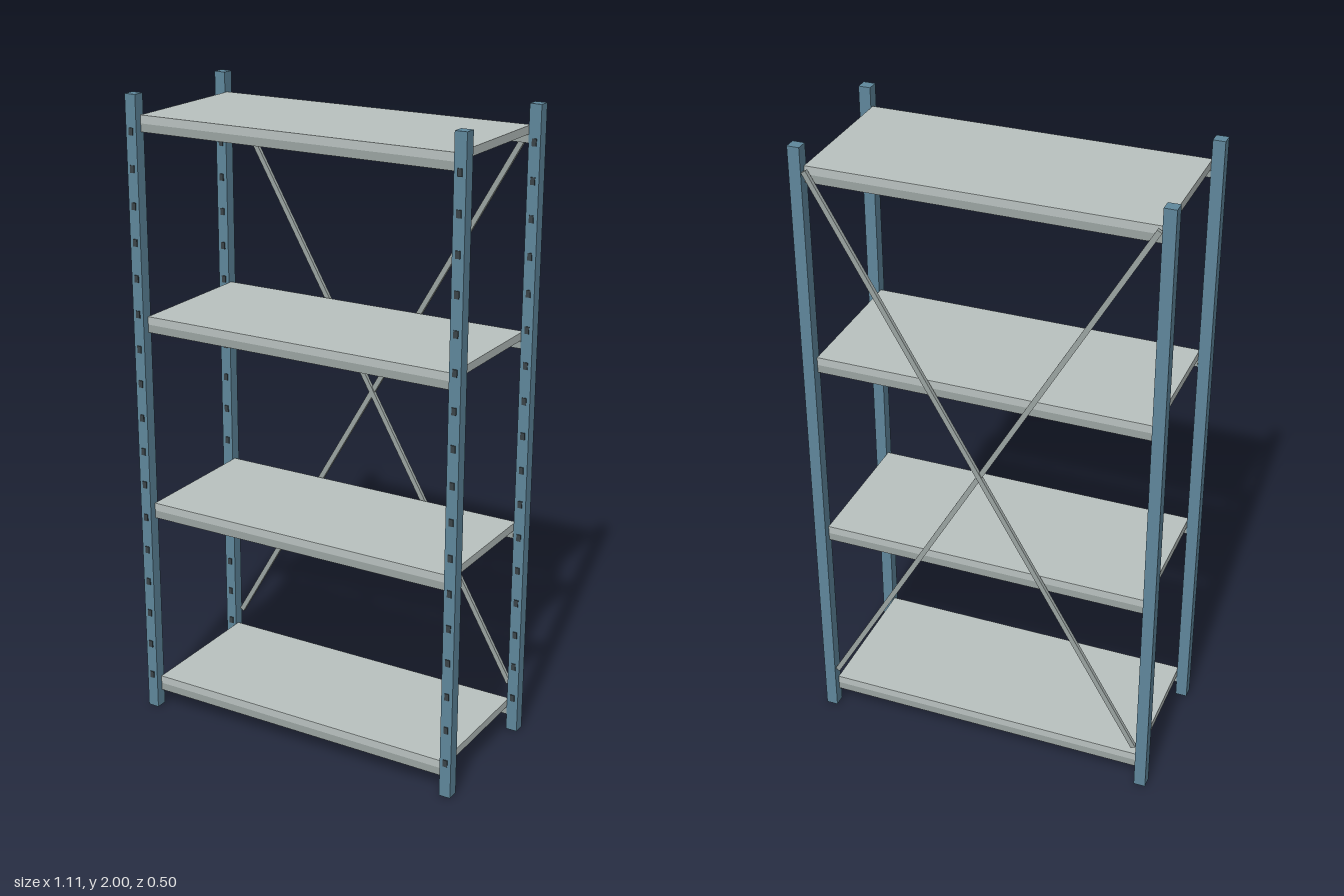
import * as THREE from 'three';

const mat = (color) => new THREE.MeshStandardMaterial({ color });

export function createModel() {
  const rack = new THREE.Group();
  rack.name = 'shelvingRack';
  const blue = mat(0x5f879c), boardGrey = mat(0xb9c2c0), beamGrey = mat(0x9ba4a2), dark = mat(0x3a4448);

  const box = (name, parent, material, size, pos) => {
    const mesh = new THREE.Mesh(new THREE.BoxGeometry(...size), material);
    mesh.name = name;
    mesh.position.set(...pos);
    parent.add(mesh);
    return mesh;
  };

  // Four uprights, each with a column of slots on its front face
  const postX = 0.5365, postZ = 0.2295, postW = 0.037;
  for (const sx of [-1, 1]) {
    for (const sz of [-1, 1]) {
      const upright = new THREE.Group();
      upright.name = (sz > 0 ? 'front' : 'back') + (sx > 0 ? 'Left' : 'Right') + 'Upright';
      upright.position.set(sx * postX, 0, sz * postZ);
      box('post', upright, blue, [postW, 2, postW], [0, 1, 0]);
      for (let i = 0; i < 17; i++) {
        box('slot', upright, dark, [0.014, 0.022, 0.006], [0, 0.115 + i * 0.111, postW / 2]);
      }
      rack.add(upright);
    }
  }

  // Four shelves: a board resting on a front and a back beam
  for (let i = 0; i < 4; i++) {
    const shelf = new THREE.Group();
    shelf.name = 'shelf' + (i + 1);
    shelf.position.y = 0.103 + i * 0.6115;
    box('board', shelf, boardGrey, [1.036, 0.025, 0.45], [0, -0.0125, 0]);
    for (const sz of [-1, 1]) {
      box(sz > 0 ? 'frontBeam' : 'backBeam', shelf, beamGrey, [1.036, 0.025, 0.015], [0, -0.0375, sz * 0.2175]);
    }
    rack.add(shelf);
  }

  // Crossed diagonal braces on the back
  const braceW = 1.02, braceH = 1.78;
  for (const s of [-1, 1]) {
    const brace = box('backBrace', rack, beamGrey,
      [0.016, Math.hypot(braceW, braceH), 0.012], [0, 1.04, -0.241 + s * 0.002]);
    brace.rotation.z = s * Math.atan2(braceW, braceH);
  }
  return rack;
}
